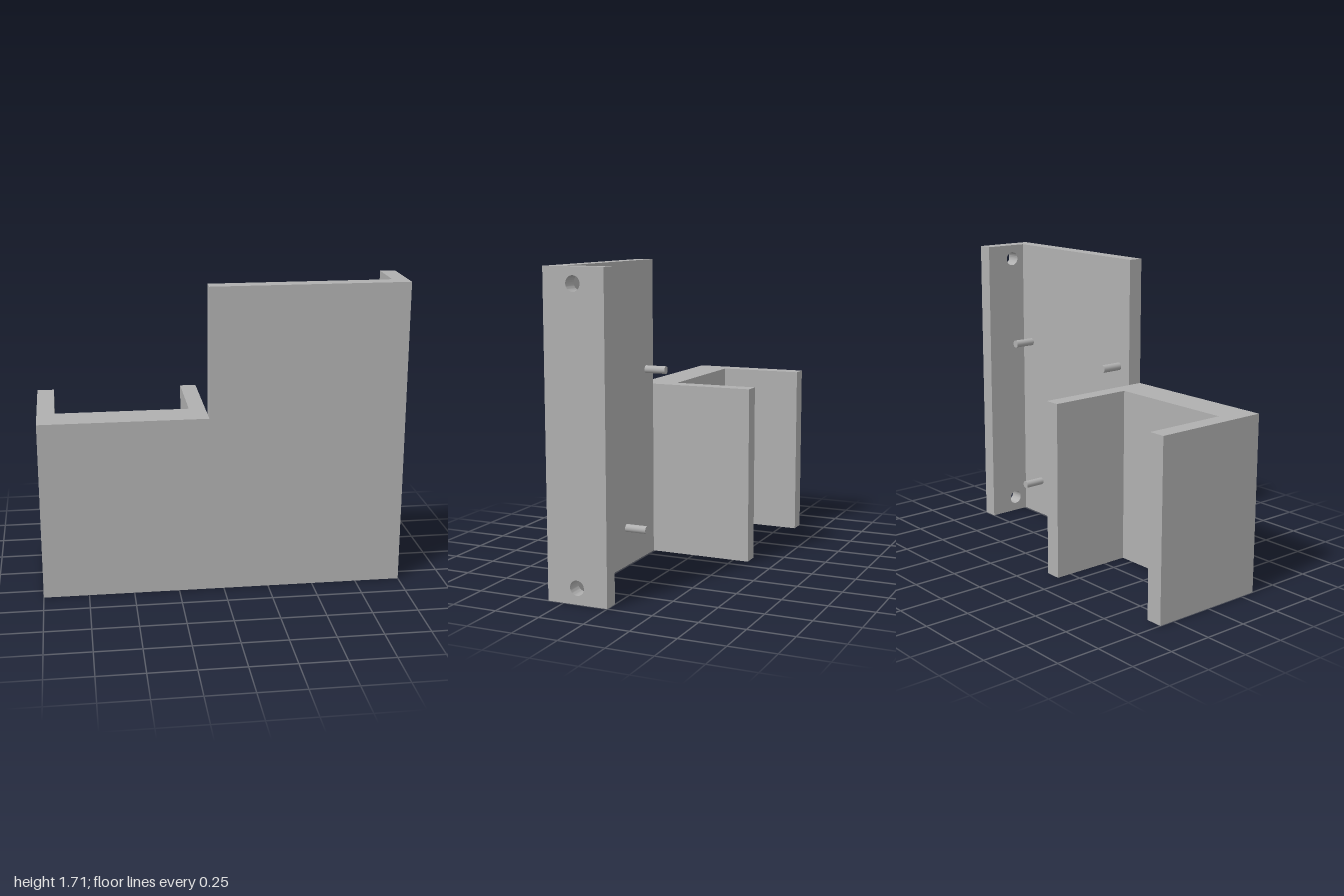
import * as THREE from 'three';
import { toCreasedNormals } from 'three/addons/utils/BufferGeometryUtils.js';

const FRONT = 0.34, HEIGHT = 1.71, BRACKET_HEIGHT = 0.995;

export function createModel() {
  const model = new THREE.Group();
  model.name = 'mountingBracket';
  const grey = new THREE.MeshStandardMaterial({ color: 0xb0b0b0 });
  grey.name = 'grey plastic';

  const add = (name, geometry) => {
    const mesh = new THREE.Mesh(geometry, grey);
    mesh.name = name;
    model.add(mesh);
    return mesh;
  };

  // U-shaped holder: plan outline given as (x, z), raised along y
  const plan = [
    [-1, FRONT], [-0.08, FRONT], [-0.08, -0.34], [-0.17, -0.34],
    [-0.17, 0.14], [-0.905, 0.14], [-0.905, -0.34], [-1, -0.34],
  ];
  const holderShape = new THREE.Shape(plan.map(([x, z]) => new THREE.Vector2(x, -z)));
  const holder = new THREE.ExtrudeGeometry(holderShape, { depth: BRACKET_HEIGHT, bevelEnabled: false });
  add('uHolder', holder.rotateX(-Math.PI / 2));

  // Tall mounting plate
  const plate = add('backPlate', new THREE.BoxGeometry(0.995, HEIGHT, 0.085));
  plate.position.set(0.4175, HEIGHT / 2, FRONT - 0.0425);

  // Side flange with two screw holes, drawn in the z-y plane and extruded along x
  const flangeShape = new THREE.Shape([
    new THREE.Vector2(-FRONT, 0), new THREE.Vector2(0, 0),
    new THREE.Vector2(0, HEIGHT), new THREE.Vector2(-FRONT, HEIGHT),
  ]);
  for (const y of [0.087, 1.627]) {
    flangeShape.holes.push(new THREE.Path().absarc(-0.172, y, 0.04, 0, Math.PI * 2, true));
  }
  const flange = new THREE.ExtrudeGeometry(flangeShape, { depth: 0.085, bevelEnabled: false, curveSegments: 32 });
  flange.rotateY(Math.PI / 2).translate(0.915, 0, 0);
  add('sideFlange', toCreasedNormals(flange, 0.6));

  // Standoff pegs on the rear of the plate
  for (const [x, y] of [[0.01, 1.09], [0.835, 1.11], [0.27, 0.22], [0.75, 0.22]]) {
    const peg = add('peg', new THREE.CylinderGeometry(0.022, 0.022, 0.125, 24));
    peg.rotation.x = Math.PI / 2;
    peg.position.set(x, y, 0.1925);
  }
  return model;
}
